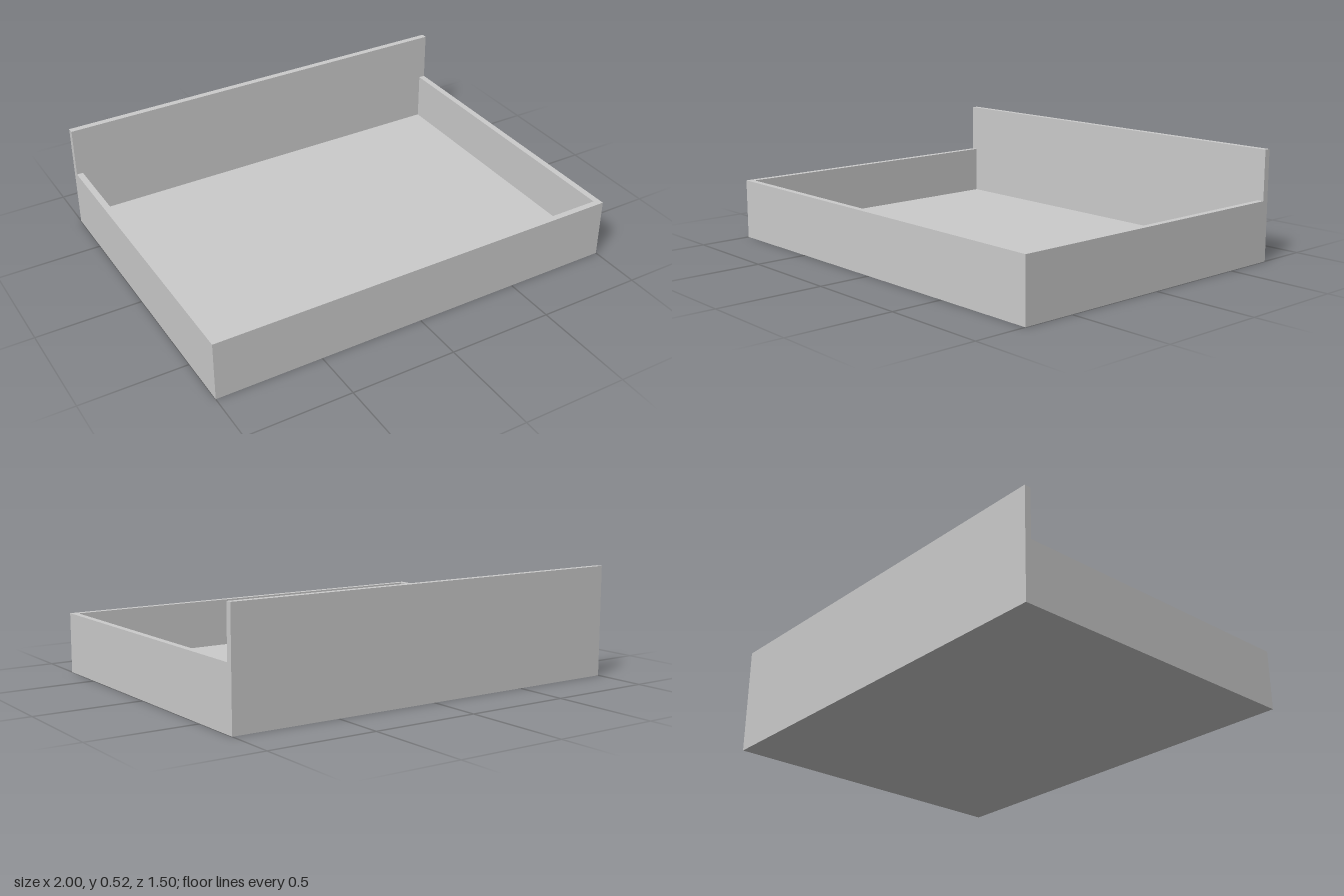
import * as THREE from 'three';

const WIDTH = 2, DEPTH = 1.5, WALL = 0.03;
const BASE_TOP = 0.053, LOW_TOP = 0.285, BACK_TOP = 0.52;

export function createModel() {
  const model = new THREE.Group();
  model.name = 'tray';
  const material = new THREE.MeshStandardMaterial({ color: 0xcccccc });

  // Adds a board spanning bottom to top, centred on x and z
  function board(name, width, bottom, top, depth, x, z) {
    const mesh = new THREE.Mesh(new THREE.BoxGeometry(width, top - bottom, depth), material);
    mesh.name = name;
    mesh.position.set(x, (bottom + top) / 2, z);
    model.add(mesh);
  }

  // Base slab
  board('base', WIDTH, 0, BASE_TOP, DEPTH, 0, 0);

  // Low front board and tall back board, across the full width
  const endZ = (DEPTH - WALL) / 2;
  board('frontPanel', WIDTH, BASE_TOP, LOW_TOP, WALL, 0, endZ);
  board('backPanel', WIDTH, BASE_TOP, BACK_TOP, WALL, 0, -endZ);

  // Side boards, fitted between front and back
  for (const [name, side] of [['leftPanel', 1], ['rightPanel', -1]]) {
    board(name, WALL, BASE_TOP, LOW_TOP, DEPTH - 2 * WALL, side * (WIDTH - WALL) / 2, 0);
  }
  return model;
}
